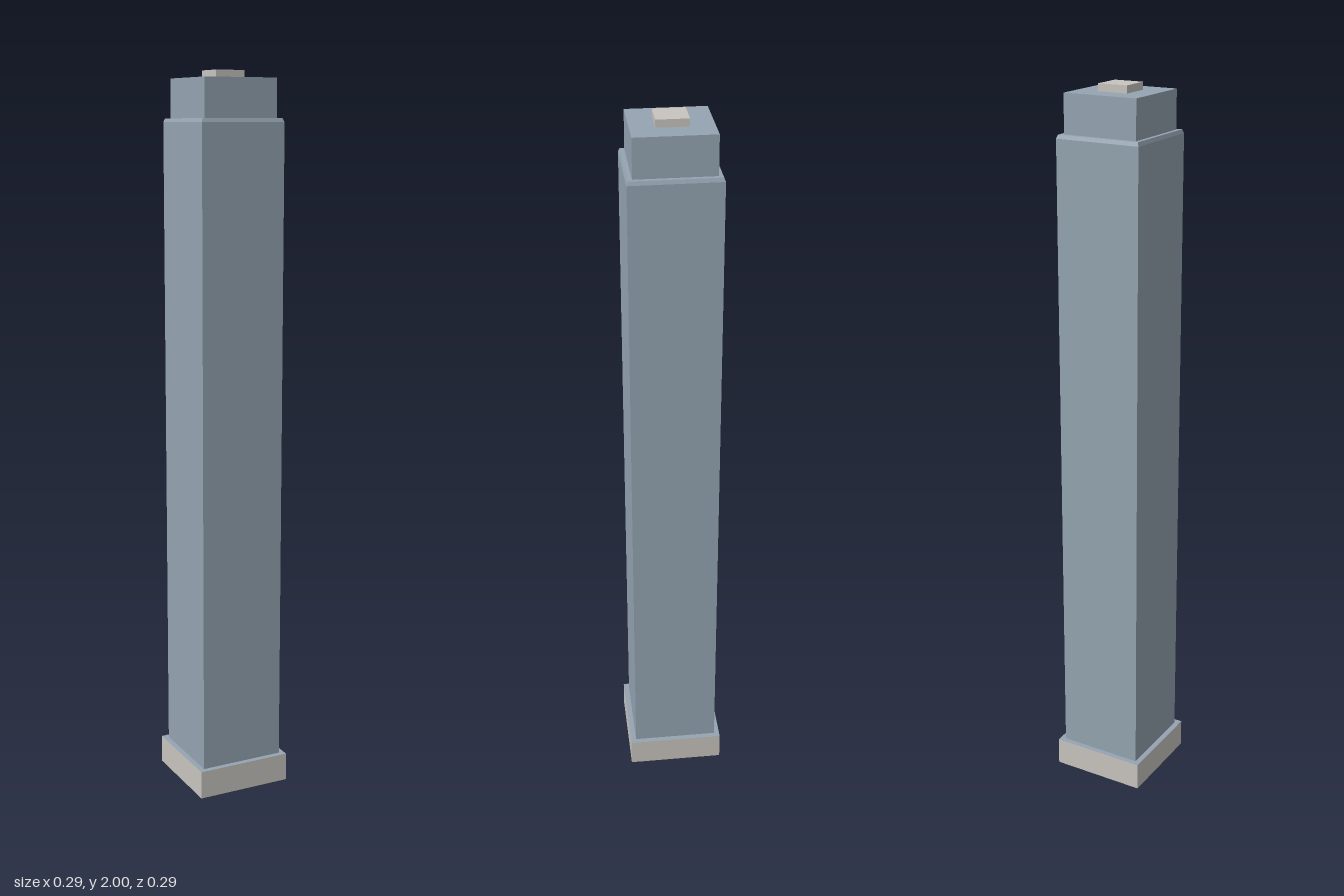
import * as THREE from 'three';

export function createModel() {
  const model = new THREE.Group();
  model.name = 'tower';

  const blue = new THREE.MeshStandardMaterial({ color: 0x94a4b1, flatShading: true, side: THREE.DoubleSide });
  blue.name = 'blue grey facade';
  const stone = new THREE.MeshStandardMaterial({ color: 0xc8c5bf, flatShading: true, side: THREE.DoubleSide });
  stone.name = 'pale stone';

  // Four open walls, given half widths at bottom and top
  function walls(name, bottom, top, y0, y1, material) {
    const g = new THREE.CylinderGeometry(top * Math.SQRT2, bottom * Math.SQRT2, y1 - y0, 4, 1, true, Math.PI / 4);
    const mesh = new THREE.Mesh(g, material);
    mesh.position.y = (y0 + y1) / 2;
    mesh.name = name;
    model.add(mesh);
  }

  // Flat square roof
  function deck(name, half, y, material) {
    const g = new THREE.PlaneGeometry(half * 2, half * 2).rotateX(-Math.PI / 2);
    const mesh = new THREE.Mesh(g, material);
    mesh.position.y = y;
    mesh.name = name;
    model.add(mesh);
  }

  // Open-bottomed plinth with its ledge
  walls('plinthWalls', 0.136, 0.136, 0, 0.08, stone);
  deck('plinthLedge', 0.136, 0.08, blue);

  // Main shaft with a bevelled shoulder
  walls('shaftWalls', 0.1205, 0.1205, 0.08, 1.866, blue);
  walls('shaftBevel', 0.1205, 0.1165, 1.866, 1.876, blue);
  deck('shoulderDeck', 0.1165, 1.876, blue);

  // Set-back crown
  walls('crownWalls', 0.1055, 0.1055, 1.876, 1.98, blue);
  deck('crownRoof', 0.1055, 1.98, blue);

  // Small rooftop housing
  walls('housingWalls', 0.042, 0.042, 1.98, 2, stone);
  deck('housingRoof', 0.042, 2, stone);

  // The plan is turned slightly off the axes
  model.rotation.y = 0.066;
  const root = new THREE.Group();
  root.name = 'building';
  root.add(model);
  return root;
}
